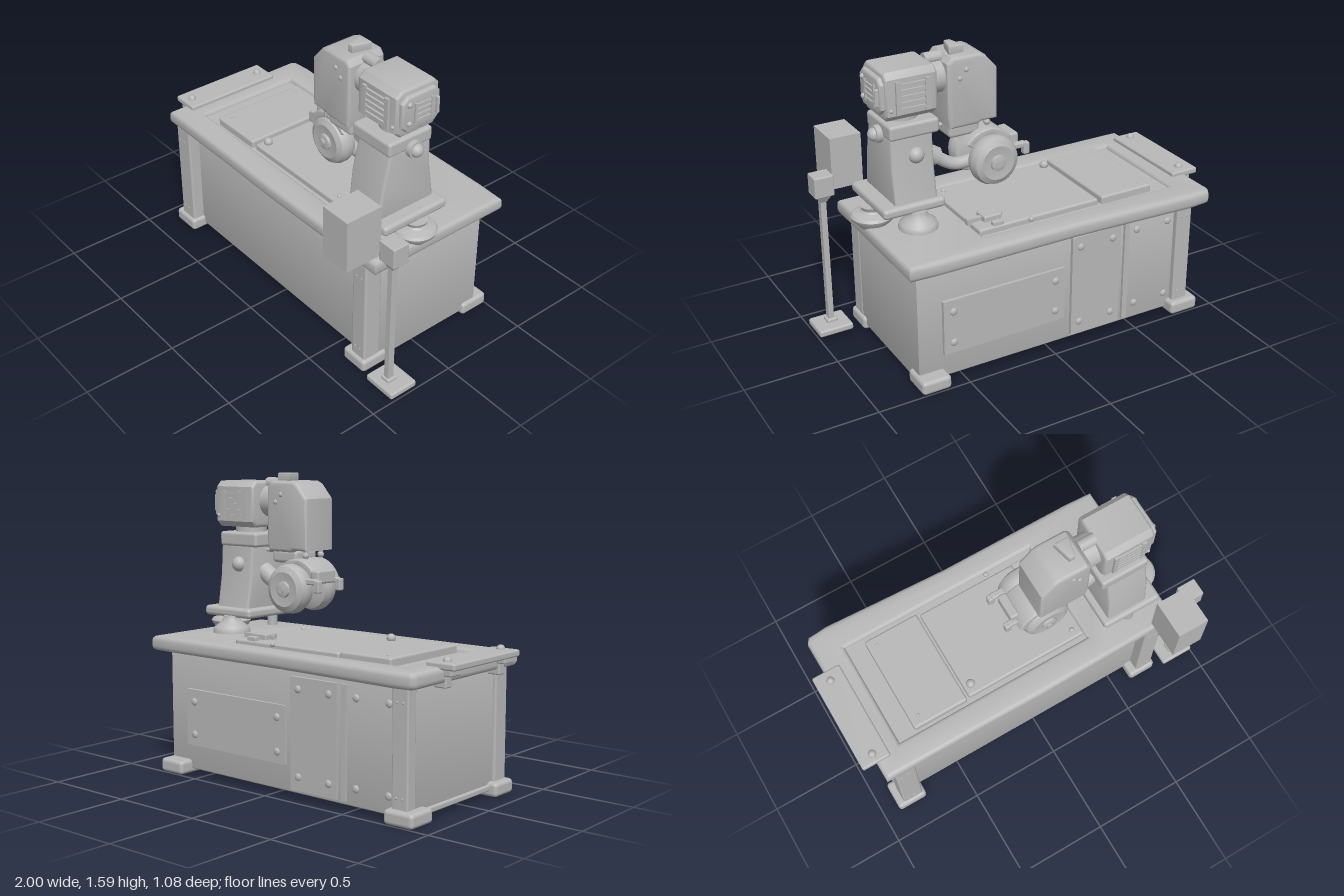
import * as THREE from 'three';
import { toCreasedNormals } from 'three/addons/utils/BufferGeometryUtils.js';
import { RoundedBoxGeometry } from 'three/addons/geometries/RoundedBoxGeometry.js';

export function createModel() {
  const model = new THREE.Group();
  const grey = new THREE.MeshStandardMaterial({ color: 0xb8b8b8 });
  grey.name = 'light grey';

  const add = (name, geo, x = 0, y = 0, z = 0) => {
    const m = new THREE.Mesh(geo, grey);
    m.name = name;
    m.position.set(x, y, z);
    model.add(m);
    return m;
  };
  // Box given by its limits, with rounded edges when r > 0
  const box = (name, x0, x1, y0, y1, z0, z1, r = 0) => {
    const s = [x1 - x0, y1 - y0, z1 - z0];
    const geo = r ? new RoundedBoxGeometry(...s, 3, r) : new THREE.BoxGeometry(...s);
    return add(name, geo, (x0 + x1) / 2, (y0 + y1) / 2, (z0 + z1) / 2);
  };
  const shapeOf = pts => new THREE.Shape(pts.map(p => new THREE.Vector2(...p)));
  // Bevelled extrusion that stays inside the outline and depth
  const slab = (shape, depth, b) => toCreasedNormals(new THREE.ExtrudeGeometry(shape, {
    depth: depth - 2 * b, bevelSize: b, bevelThickness: b, bevelOffset: -b, bevelSegments: 3, curveSegments: 20,
  }).translate(0, 0, b), 0.6);
  // Profile of [z, y] points extruded from x0 to x1
  const alongX = (name, pts, x0, x1, b) =>
    add(name, slab(shapeOf(pts.map(([z, y]) => [-z, y])), x1 - x0, b).rotateY(Math.PI / 2), x0);
  const turned = pts => toCreasedNormals(new THREE.LatheGeometry(pts.map(p => new THREE.Vector2(...p)), 32), 0.6);
  // Cylinder between two points
  const rod = (name, a, b, r0, r1 = r0) => {
    const p = new THREE.Vector3(...a), q = new THREE.Vector3(...b), d = q.clone().sub(p);
    const m = add(name, new THREE.CylinderGeometry(r1, r0, d.length(), 24));
    m.position.copy(p).add(q).multiplyScalar(0.5);
    m.quaternion.setFromUnitVectors(new THREE.Vector3(0, 1, 0), d.normalize());
  };
  // Domed bolt heads, flattened along z by the last value
  const bolt = (x, y, z, r = 0.018, flat = 1) =>
    add('bolt', new THREE.SphereGeometry(r, 12, 8).scale(1, 1, flat), x, y, z);

  // Cabinet with a slightly skewed footprint, set back behind the front legs
  const footprint = shapeOf([[-0.855, 0.278], [-0.855, -0.435], [0.742, -0.42], [0.742, 0.278]]);
  add('cabinet', slab(footprint, 0.64, 0.006).rotateX(Math.PI / 2), 0, 0.67);
  box('skid', 0.595, 0.735, 0.025, 0.062, -0.36, 0.24, 0.008);
  box('sideRail', -0.87, -0.83, 0.035, 0.065, -0.36, 0.24, 0.008);
  for (const [x0, x1, f0, f1] of [[-0.872, -0.755, -0.91, -0.74], [0.645, 0.745, 0.6, 0.76]]) {
    box('frontLeg', x0, x1, 0.05, 0.67, 0.24, 0.343, 0.012);
    for (const [z0, z1] of [[0.2, 0.36], [-0.5, -0.33]]) box('foot', f0, f1, 0.005, 0.078, z0, z1, 0.02);
    for (const y of [0.13, 0.58]) for (const dx of [0.03, 0.065]) bolt(x0 + dx, y, 0.343, 0.007, 0.5);
  }
  box('backLeg', -0.858, -0.765, 0.05, 0.67, -0.465, -0.4, 0.008);
  for (const y of [0.13, 0.58]) for (const dx of [0.03, 0.065]) bolt(-0.858 + dx, y, -0.465, 0.007, 0.5);

  // Back access panels with corner bolts
  const cornerBolts = (x0, x1, y0, y1, z) => {
    for (const x of [x0, x1]) for (const y of [y0, y1]) bolt(x, y, z, 0.02, 0.5);
  };
  box('widePanel', -0.085, 0.61, 0.165, 0.465, -0.441, -0.41);
  cornerBolts(-0.03, 0.555, 0.225, 0.4, -0.441);
  box('tallPanel', -0.42, -0.125, 0.05, 0.62, -0.447, -0.41);
  cornerBolts(-0.37, -0.175, 0.12, 0.56, -0.447);
  box('backStrip', -0.475, -0.445, 0.05, 0.62, -0.447, -0.41);
  cornerBolts(-0.725, -0.53, 0.12, 0.56, -0.434);

  // Table top with a shallow tray
  const top = shapeOf([[-0.92, 0.35], [-0.93, -0.5], [-0.91, -0.53], [-0.8, -0.54], [-0.5, -0.525],
    [-0.1, -0.507], [0.65, -0.505], [0.81, -0.497], [0.81, 0.345], [0.4, 0.35], [0, 0.355], [-0.4, 0.35]]);
  top.holes.push(shapeOf([[-0.77, -0.38], [0.35, -0.38], [0.35, 0.21], [-0.77, 0.21]]));
  add('tableTop', slab(top, 0.08, 0.024).rotateX(Math.PI / 2), 0, 0.735);
  box('trayFloor', -0.79, 0.37, 0.67, 0.712, -0.4, 0.23);
  box('smallPlate', -0.67, -0.36, 0.7, 0.755, -0.35, 0.195, 0.012);
  box('largePlate', -0.345, 0.35, 0.7, 0.745, -0.34, 0.185, 0.012);
  for (const z of [-0.3, 0.14]) bolt(-0.62, 0.755, z, 0.009);
  bolt(-0.305, 0.757, 0.13, 0.024);
  for (const [x, z] of [[0.07, -0.36], [0.3, 0.14]]) bolt(x, 0.745, z, 0.014);
  box('stopBlock', 0.19, 0.29, 0.73, 0.775, -0.28, -0.19, 0.008);
  box('stopBar', 0.17, 0.37, 0.73, 0.765, -0.25, -0.225);
  box('latch', 0.21, 0.27, 0.73, 0.765, -0.335, -0.305, 0.005);

  // Ledge beyond the short end of the table
  box('ledge', -1, -0.84, 0.722, 0.757, -0.31, 0.25, 0.01);
  for (const z of [-0.25, 0.2]) {
    bolt(-0.92, 0.757, z, 0.022);
    box('ledgeBracket', -0.97, -0.86, 0.69, 0.725, z - 0.04, z + 0.04, 0.008);
    box('ledgeClamp', -0.93, -0.86, 0.63, 0.695, z - 0.025, z + 0.025, 0.008);
  }

  // Round pedestals by the column
  add('sidePedestal', turned([[0, -0.05], [0.045, -0.05], [0.105, 0.015], [0.11, 0.03], [0.1, 0.043], [0.06, 0.055], [0.052, 0.065], [0.06, 0.085], [0, 0.085]]), 0.75, 0.74, 0.04);
  add('rearPedestal', turned([[0, -0.02], [0.1, -0.02], [0.1, 0.005], [0.092, 0.025], [0.065, 0.045], [0.047, 0.065], [0.043, 0.085], [0, 0.085]]), 0.58, 0.74, -0.13);
  rod('columnPost', [0.6, 0.72, 0.215], [0.6, 0.83, 0.215], 0.028);

  // Tapered column
  box('columnBase', 0.432, 0.768, 0.815, 0.868, -0.15, 0.25, 0.02);
  alongX('column', [[0.225, 0.85], [0.205, 1.04], [0.165, 1.21], [-0.085, 1.21], [-0.095, 1.04], [-0.125, 0.85]], 0.465, 0.695, 0.015);
  box('columnCap', 0.43, 0.697, 1.195, 1.272, -0.095, 0.175, 0.016);
  rod('sideKnobStem', [0.68, 1.2, 0.03], [0.725, 1.2, 0.03], 0.045);
  add('sideKnob', new THREE.SphereGeometry(0.035, 20, 14), 0.722, 1.2, 0.03);
  add('rearKnob', new THREE.SphereGeometry(0.042, 20, 14), 0.56, 1.1, -0.085);

  // Motor with vents
  rod('motorNeck', [0.58, 1.26, 0.03], [0.58, 1.33, 0.03], 0.085);
  const octagon = (w, y0, y1, c) => [[w, y0 + c], [w, y1 - c], [w - c, y1], [c - w, y1], [-w, y1 - c], [-w, y0 + c], [c - w, y0], [w - c, y0]]
    .map(([z, y]) => [z + 0.025, y]);
  alongX('motor', octagon(0.13, 1.3, 1.545, 0.03), 0.44, 0.715, 0.018);
  alongX('motorEnd', octagon(0.115, 1.335, 1.52, 0.03), 0.7, 0.738, 0.012);
  for (const s of [-1, 1]) {
    const z = 0.025 + s * 0.132;
    for (const x of [0.485, 0.64]) box('ventFrame', x, x + 0.025, 1.335, 1.5, z - 0.01, z + 0.01);
    for (let i = 0; i < 5; i++) box('ventSlat', 0.5, 0.65, 1.35 + i * 0.031, 1.365 + i * 0.031, z - 0.009, z + 0.009);
    bolt(0.69, 1.36, z, 0.01);
    bolt(0.738, 1.43 + s * 0.05, 0.1, 0.014);
    const zf = 0.015 + s * 0.05;
    box('endVentFrame', 0.73, 0.748, 1.37, 1.48, zf - 0.006, zf + 0.006);
  }
  for (let i = 0; i < 4; i++) box('endVentSlat', 0.73, 0.746, 1.377 + i * 0.027, 1.39 + i * 0.027, -0.035, 0.065);
  box('endHandle', 0.73, 0.755, 1.38, 1.47, -0.075, -0.06, 0.006);

  // Grinding head housing
  rod('headCoupling', [0.35, 1.44, 0.03], [0.45, 1.44, 0.03], 0.085);
  rod('upperCoupling', [0.36, 1.535, 0.03], [0.45, 1.535, 0.03], 0.03);
  const head = shapeOf([[0.095, 1.19], [0.19, 1.19], [0.2, 1.18], [0.36, 1.18], [0.37, 1.25], [0.37, 1.52], [0.345, 1.55], [0.19, 1.55], [0.16, 1.535], [0.095, 1.46]]);
  add('headHousing', slab(head, 0.22, 0.018), 0, 0, -0.075);
  const wedge = shapeOf([[0.255, -0.02], [0.335, -0.02], [0.31, 0.08], [0.28, 0.08]]);
  add('headTopNub', slab(wedge, 0.05, 0.006).rotateX(Math.PI / 2), 0, 1.592);
  for (const [x, y] of [[0.27, 1.48], [0.305, 1.44]]) for (const z of [-0.075, 0.145]) bolt(x, y, z, 0.013, 0.6);
  box('headCollar', 0.185, 0.355, 1.12, 1.19, -0.05, 0.12, 0.02);
  rod('linkRod', [0.32, 1.175, 0.03], [0.46, 1.175, 0.03], 0.01);
  for (const z of [-0.03, 0.09]) {
    rod('hangerRod', [0.135, 1.08, z], [0.135, 1.22, z], 0.012);
    bolt(0.135, 1.165, z, 0.018);
  }

  // Grinding wheels, guard and claws
  const wheel = [[0, -0.055], [0.085, -0.055], [0.118, -0.042], [0.129, -0.015], [0.129, 0.015], [0.118, 0.04],
    [0.09, 0.055], [0.055, 0.05], [0.042, 0.05], [0.04, 0.062], [0.025, 0.066], [0, 0.066]];
  add('frontWheel', turned(wheel).rotateX(Math.PI / 2), 0.165, 0.998, 0.07);
  add('rearWheel', turned(wheel).rotateX(-Math.PI / 2), 0.155, 1, -0.13);
  rod('axle', [0.16, 1, -0.2], [0.16, 1, 0.145], 0.018);
  const guard = new THREE.Shape();
  guard.absarc(0, 0, 0.15, 0.6, 2.9, false);
  guard.absarc(0, 0, 0.11, 2.9, 0.6, true);
  add('wheelGuard', slab(guard, 0.19, 0.008), 0.155, 1, -0.09);
  for (const z of [-0.13, 0.04]) {
    box('clawArm', -0.03, 0.08, 1.03, 1.06, z - 0.015, z + 0.02, 0.008);
    box('clawTip', -0.05, -0.015, 0.99, 1.055, z - 0.015, z + 0.02, 0.008);
  }
  box('clawBridge', -0.01, 0.04, 1.03, 1.1, -0.1, 0.04, 0.012);

  // Dust pipe from the wheel to the column
  const path = new THREE.CatmullRomCurve3([[0.2, 0.96, 0], [0.3, 0.955, 0.01], [0.37, 0.99, 0.02], [0.43, 1.04, 0.02]].map(p => new THREE.Vector3(...p)));
  add('dustPipe', new THREE.TubeGeometry(path, 20, 0.033, 16));
  rod('pipeSocket', [0.4, 1.015, 0.02], [0.48, 1.065, 0.02], 0.048);

  // Control box and switch stand
  box('controlBox', 0.664, 0.834, 0.8, 1.08, 0.335, 0.54);
  box('standFoot', 0.81, 1, 0.02, 0.058, 0.22, 0.385, 0.012);
  box('standCollar', 0.87, 0.93, 0.05, 0.075, 0.285, 0.345, 0.008);
  box('standPole', 0.887, 0.917, 0.05, 0.78, 0.3, 0.335);
  add('standNeck', toCreasedNormals(new THREE.CylinderGeometry(0.062, 0.024, 0.05, 4).rotateY(Math.PI / 4), 0.5), 0.902, 0.785, 0.316);
  box('standHead', 0.85, 0.955, 0.8, 0.913, 0.268, 0.362, 0.006);

  return model;
}
